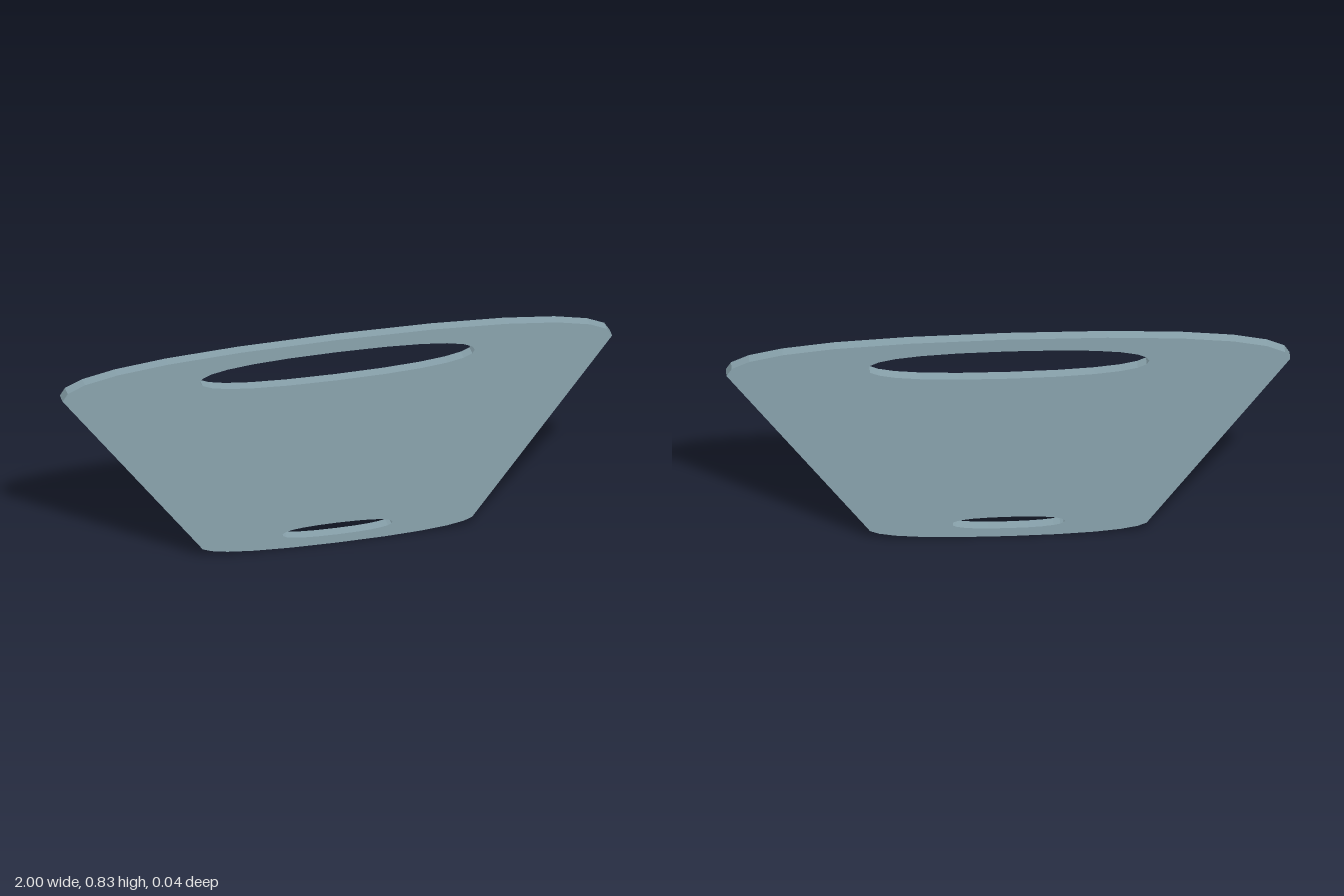
import * as THREE from 'three';

const THICKNESS = 0.044;

// Shallow bow from (x, y) over the centre line to (-x, y), in two mirrored halves
function bow(path, x, y, rise) {
  const top = y + rise;
  path.bezierCurveTo(x, y + rise * 0.5, x * 0.8, top, 0, top);
  path.bezierCurveTo(-x * 0.8, top, -x, y + rise * 0.5, -x, y);
}

// Long slot made from an upper and a lower bow
function slot(halfWidth, y, halfHeight) {
  const path = new THREE.Path();
  path.moveTo(-halfWidth, y);
  bow(path, -halfWidth, y, halfHeight);
  bow(path, halfWidth, y, -halfHeight);
  return path;
}

export function createModel() {
  const group = new THREE.Group();

  // Tapered outline with bowed top and bottom edges
  const outline = new THREE.Shape();
  outline.moveTo(-0.5, 0.052);
  bow(outline, -0.5, 0.052, -0.052);
  outline.lineTo(1, 0.717);
  bow(outline, 1, 0.717, 0.118);
  outline.closePath();

  // Wide upper slot and small lower slot
  outline.holes.push(slot(0.5, 0.727, 0.058), slot(0.2, 0.058, 0.024));

  const geometry = new THREE.ExtrudeGeometry(outline, {
    depth: THICKNESS, bevelEnabled: false, curveSegments: 6,
  });
  geometry.translate(0, 0, -THICKNESS / 2);

  const plate = new THREE.Mesh(
    geometry,
    new THREE.MeshStandardMaterial({ color: 0x8aa4ae, flatShading: true }),
  );
  plate.name = 'slottedPlate';
  group.add(plate);
  return group;
}
